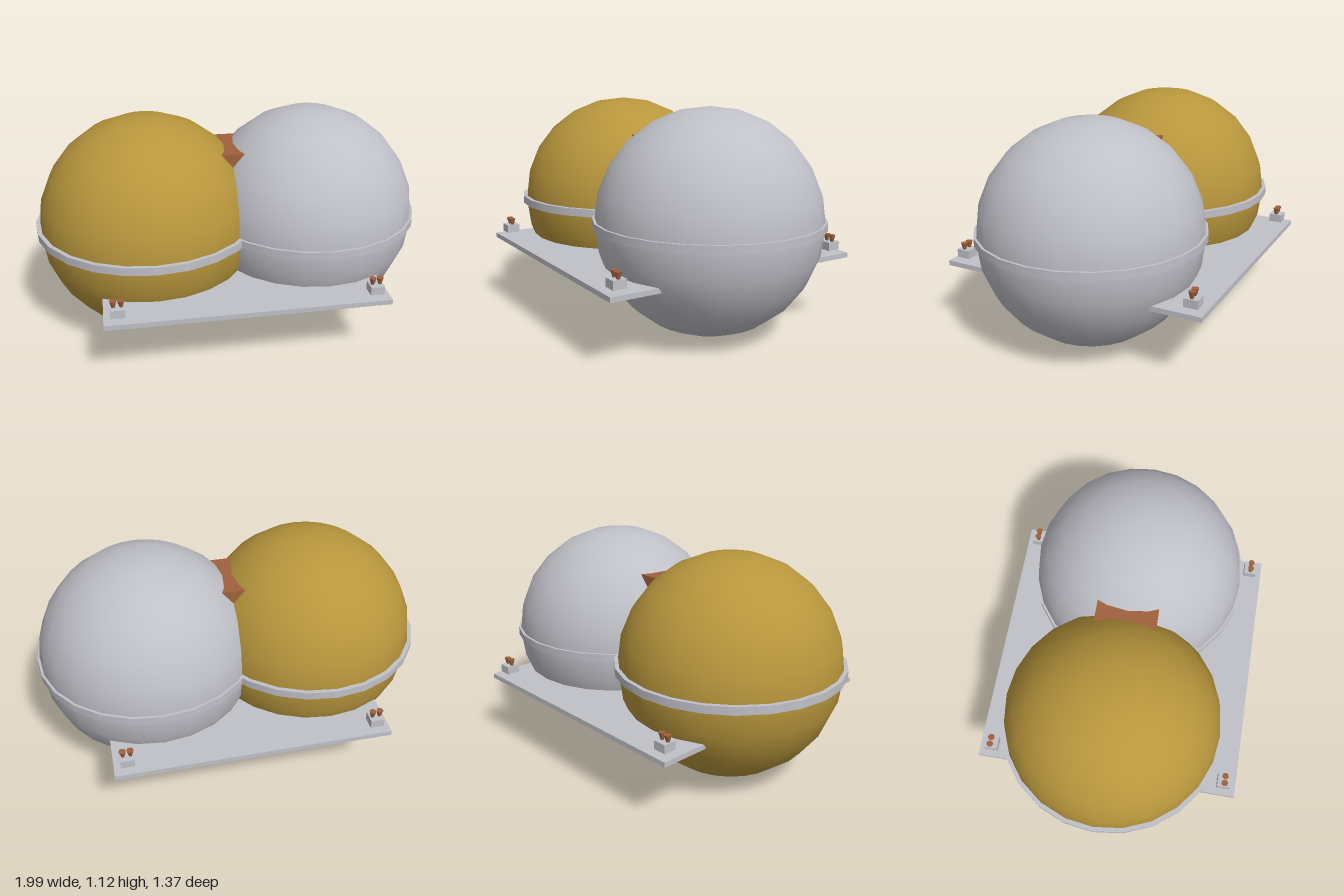
import * as THREE from 'three';

const paint = (name, color) => {
  const m = new THREE.MeshStandardMaterial({ color });
  m.name = name;
  return m;
};

export function createModel() {
  const model = new THREE.Group();
  model.name = 'twinSphereTank';
  const gold = paint('gold', 0xb8963c);
  const silver = paint('silver', 0xc0c0c8);
  const copper = paint('copper', 0xa0623c);

  const add = (name, geometry, material, x, y, z, parent = model) => {
    const mesh = new THREE.Mesh(geometry, material);
    mesh.name = name;
    mesh.position.set(x, y, z);
    parent.add(mesh);
    return mesh;
  };

  // Two overlapping spheres, each with a band round its equator
  const cx = 0.425, cy = 0.563;
  const sphere = new THREE.SphereGeometry(0.558, 24, 12);
  add('goldSphere', sphere, gold, -cx, cy, 0);
  add('silverSphere', sphere, silver, cx, cy, 0);
  const band = (r) => new THREE.CylinderGeometry(r, r, 0.04, 24);
  add('goldSphereBand', band(0.576), silver, -cx, 0.565, 0);
  add('silverSphereBand', band(0.568), silver, cx, 0.565, 0);

  // Wedge filling the crease between the spheres
  add('topSaddle', new THREE.BoxGeometry(0.14, 0.16, 0.305), copper, 0, 0.87, 0);

  // Mounting plate
  add('mountingPlate', new THREE.BoxGeometry(1.372, 0.025, 1.372), silver, 0, 0.355, 0);

  // Terminal block with two flared pins above each corner of the plate
  const block = new THREE.BoxGeometry(0.068, 0.042, 0.068);
  const pin = new THREE.CylinderGeometry(0.017, 0.008, 0.034, 12);
  for (const sx of [-1, 1]) {
    for (const sz of [-1, 1]) {
      const terminal = new THREE.Group();
      terminal.name = 'cornerTerminal';
      terminal.position.set(sx * 0.619, 0.403, sz * 0.62);
      add('terminalBlock', block, silver, 0, 0, 0, terminal);
      for (const dx of [-0.018, 0.018]) add('terminalPin', pin, copper, dx, 0.038, 0, terminal);
      model.add(terminal);
    }
  }
  return model;
}
